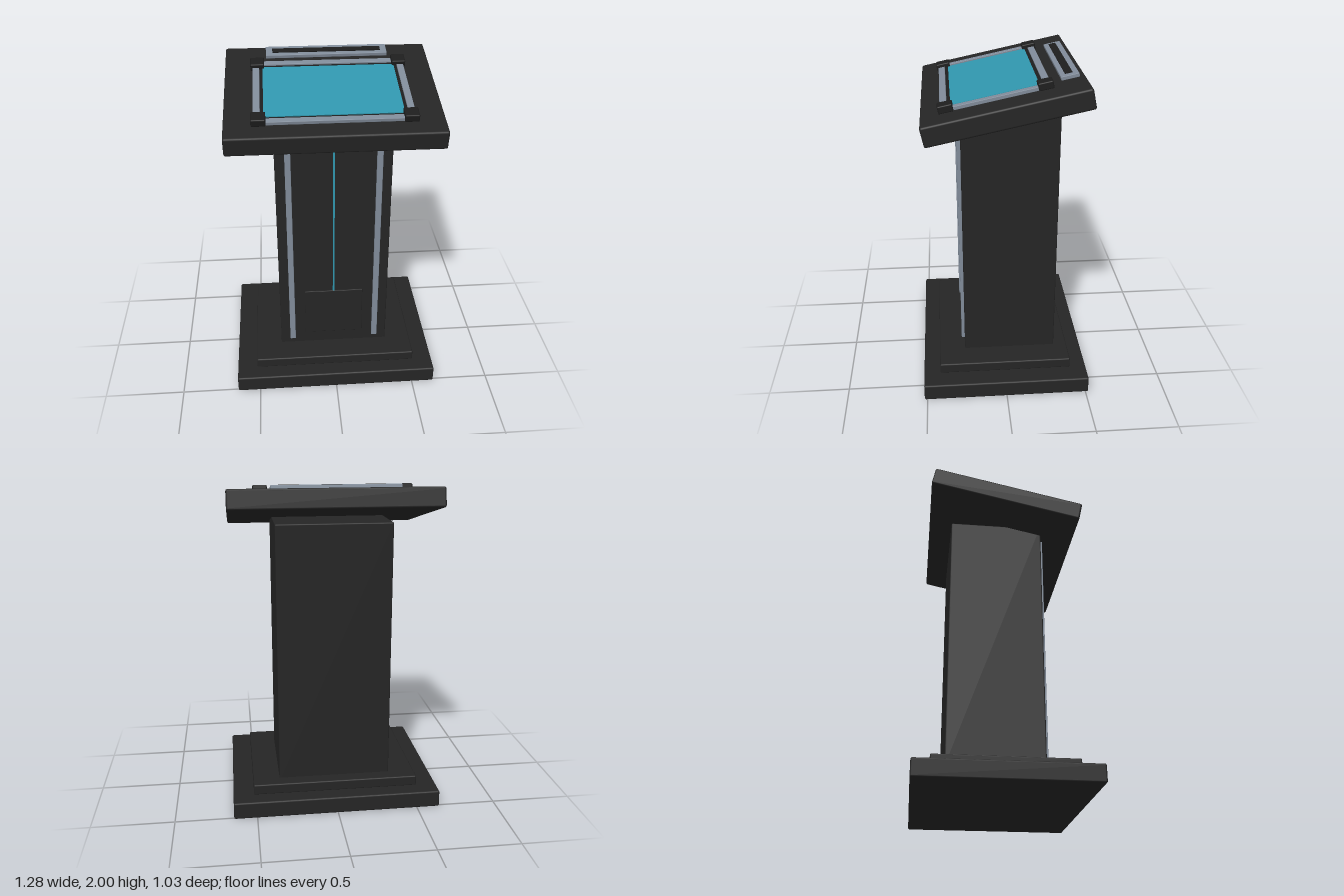
import * as THREE from 'three';
import { RoundedBoxGeometry } from 'three/addons/geometries/RoundedBoxGeometry.js';

const material = (name, color) => {
  const m = new THREE.MeshStandardMaterial({ color });
  m.name = name;
  return m;
};

export function createModel() {
  const body = material('charcoal body', 0x252525);
  const trim = material('dark trim', 0x1d1d1d);
  const metal = material('grey metal', 0x808b99);
  const glow = material('teal screen', 0x3096ae);

  const model = new THREE.Group();
  model.name = 'lectern';

  // Box given by its size and centre, with softly rounded edges when r > 0
  const box = (parent, name, mat, [w, h, d], [x, y, z], r = 0) => {
    const geo = r > 0 ? new RoundedBoxGeometry(w, h, d, 2, r) : new THREE.BoxGeometry(w, h, d);
    const mesh = new THREE.Mesh(geo, mat);
    mesh.name = name;
    mesh.position.set(x, y, z);
    parent.add(mesh);
    return mesh;
  };

  // Stepped base and column
  box(model, 'base', body, [1.285, 0.105, 1.035], [0, 0.0525, 0], 0.01);
  box(model, 'baseStep', body, [1.03, 0.065, 0.83], [0, 0.135, 0], 0.008);
  box(model, 'column', body, [0.7, 1.61, 0.58], [0, 0.965, -0.04], 0.008);

  // Column front: metal strips, light line and access panel
  for (const side of [-1, 1]) {
    box(model, 'frontStrip', metal, [0.036, 1.5, 0.022], [side * 0.272, 0.96, 0.259], 0.004);
  }
  box(model, 'lightLine', glow, [0.011, 1.056, 0.008], [0, 1.112, 0.252]);
  box(model, 'accessPanel', body, [0.375, 0.335, 0.014], [0, 0.418, 0.251], 0.004);

  // Sloping desk; its fittings sit on the top surface in tilted coordinates
  const desk = new THREE.Group();
  desk.name = 'desk';
  desk.position.set(0, 1.83, 0);
  desk.rotation.x = THREE.MathUtils.degToRad(12);
  model.add(desk);
  const top = 0.059;
  box(desk, 'deskTop', body, [1.245, 0.118, 0.942], [0, 0, 0], 0.012);

  // Screen with bezel, rails and corner blocks
  const screenZ = 0.04;
  box(desk, 'bezel', trim, [0.836, 0.012, 0.55], [0, top + 0.005, screenZ]);
  box(desk, 'screen', glow, [0.794, 0.006, 0.504], [0, top + 0.013, screenZ]);
  for (const s of [-1, 1]) {
    box(desk, 'crossRail', metal, [0.8, 0.022, 0.04], [0, top + 0.01, screenZ + s * 0.293], 0.003);
    box(desk, 'sideRail', metal, [0.04, 0.022, 0.5], [s * 0.436, top + 0.01, screenZ], 0.003);
    for (const t of [-1, 1]) {
      box(desk, 'cornerBlock', trim, [0.083, 0.045, 0.085], [s * 0.4275, top + 0.02, screenZ + t * 0.281], 0.007);
    }
  }

  // Slot at the upper edge
  box(desk, 'slotFrame', metal, [0.748, 0.022, 0.105], [0, top + 0.01, -0.388], 0.003);
  box(desk, 'slotInsert', trim, [0.668, 0.008, 0.043], [0, top + 0.022, -0.386]);

  return model;
}
